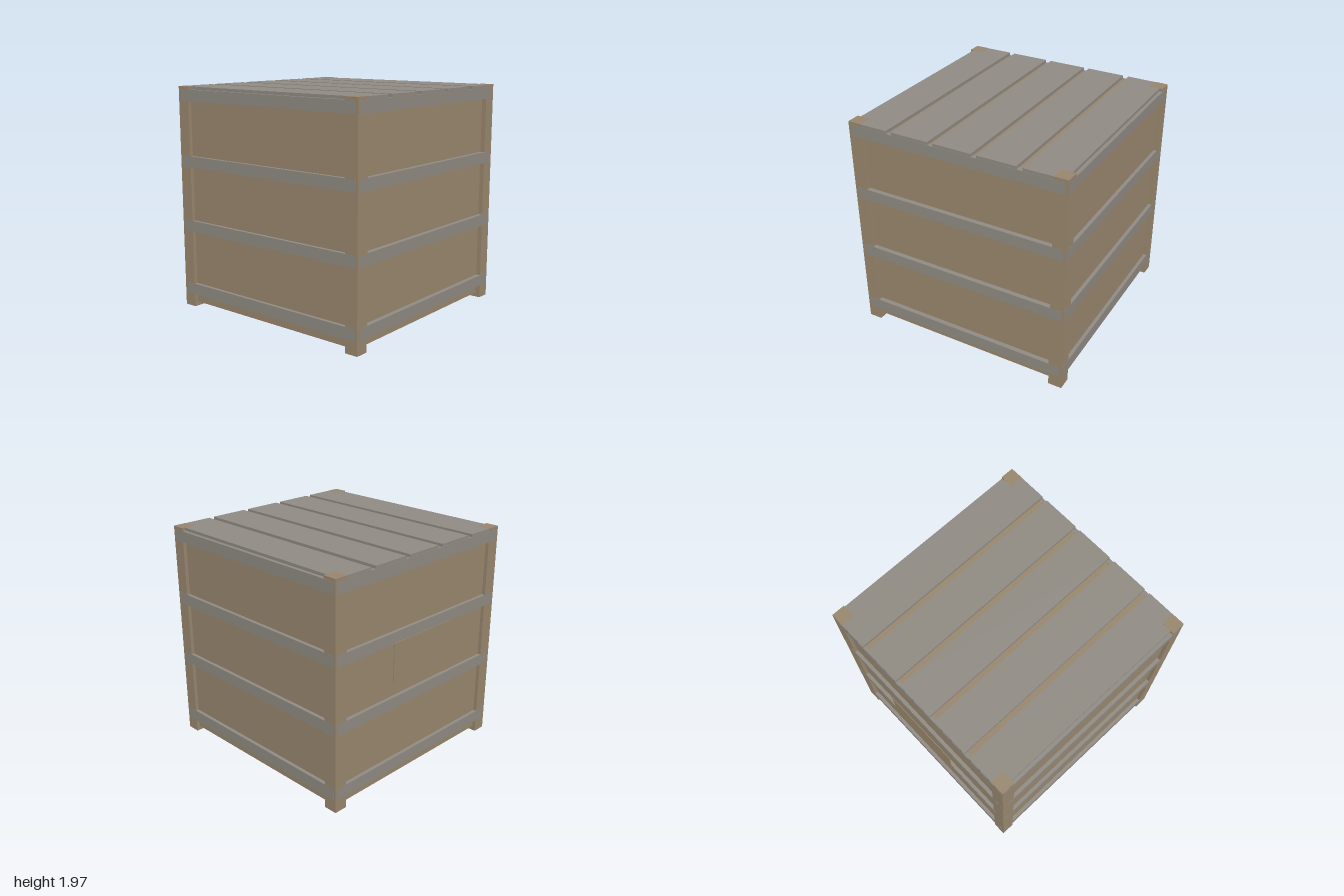
import * as THREE from 'three';

export function createModel() {
  const crate = new THREE.Group();
  crate.name = 'crate';
  const wood = new THREE.MeshStandardMaterial({ color: 0x98866d });
  wood.name = 'brown wood';
  const trim = new THREE.MeshStandardMaterial({ color: 0x8f8a82 });
  trim.name = 'grey trim';

  // Box given by its min and max on each axis
  function block(name, material, [x0, x1], [y0, y1], [z0, z1]) {
    const mesh = new THREE.Mesh(new THREE.BoxGeometry(x1 - x0, y1 - y0, z1 - z0), material);
    mesh.position.set((x0 + x1) / 2, (y0 + y1) / 2, (z0 + z1) / 2);
    mesh.name = name;
    crate.add(mesh);
  }

  const X = 0.985, TOP = 1.97, FRONT = 1, BACK = -0.97;
  const POST = 0.12, RAIL = 0.03, PROUD = 0.001;

  // Inset body
  block('body', wood, [-X + RAIL, X - RAIL], [0.04, 1.94], [BACK + RAIL, FRONT - 0.04]);

  // Corner posts, which also form the feet
  for (const x of [[-X, -X + POST], [X - POST, X]]) {
    for (const z of [[BACK, BACK + POST], [FRONT - POST, FRONT]]) {
      block('cornerPost', wood, x, [0, TOP], z);
    }
  }

  // Four rails round every side, a hair proud of the posts
  for (const y0 of [0.115, 0.692, 1.268, 1.845]) {
    const y = [y0, y0 + 0.099];
    block('frontRail', trim, [-0.96, 0.96], y, [FRONT - 0.04, FRONT + PROUD]);
    block('backRail', trim, [-0.96, 0.96], y, [BACK - PROUD, BACK + RAIL]);
    block('leftRail', trim, [X - RAIL, X + PROUD], y, [-0.95, 0.98]);
    block('rightRail', trim, [-X - PROUD, -X + RAIL], y, [-0.95, 0.98]);
  }

  // Lid slats with narrow gaps, just under the post tops
  const slats = [[-0.955, -0.615], [-0.565, -0.223], [-0.173, 0.17], [0.22, 0.56], [0.612, 0.955]];
  for (const x of slats) {
    block('lidSlat', trim, x, [1.935, TOP - PROUD], [BACK + PROUD, FRONT - PROUD]);
  }

  // Thin plate standing off the back
  block('backPlate', wood, [-0.365, 0.36], [0.93, 1.29], [-1, -0.994]);

  return crate;
}
